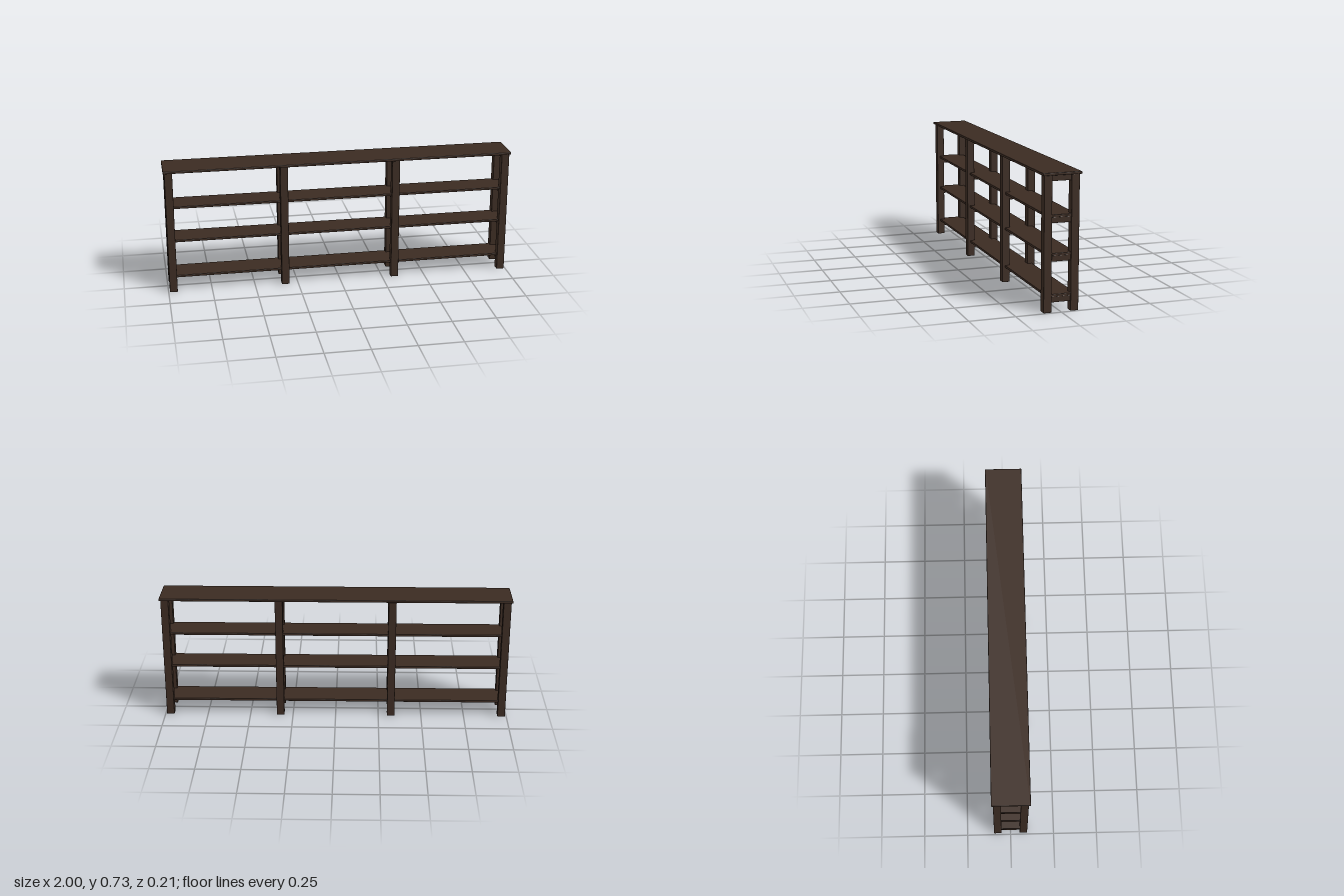
import * as THREE from 'three';
import { RoundedBoxGeometry } from 'three/addons/geometries/RoundedBoxGeometry.js';

export function createModel() {
  const group = new THREE.Group();
  group.name = 'consoleShelf';
  const wood = new THREE.MeshStandardMaterial({ color: 0x3b2b22 });
  wood.name = 'darkWood';

  // Lightly eased board, placed by its bottom height
  function board(name, w, h, d, x, bottom, z, radius = 0.0015) {
    const mesh = new THREE.Mesh(new RoundedBoxGeometry(w, h, d, 2, radius), wood);
    mesh.name = name;
    mesh.position.set(x, bottom + h / 2, z);
    group.add(mesh);
  }

  const shelfBottoms = [0.083, 0.299, 0.5];
  const topBottom = 0.717;
  const railHeight = 0.031;

  // Overhanging top
  board('top', 2, 0.014, 0.212, 0, topBottom, 0, 0.003);

  // Long shelves running between the front and back posts
  for (const y of shelfBottoms) board('shelf', 1.974, 0.013, 0.16, 0, y, 0);

  // Four frames: a pair of posts joined by cross rails
  for (const x of [-0.97, -0.323, 0.323, 0.97]) {
    for (const side of [-1, 1]) {
      board('post', 0.044, topBottom, 0.043, x, 0, side * 0.0745);
    }
    for (const y of [...shelfBottoms, topBottom]) {
      board('crossRail', 0.03, railHeight, 0.112, x, y - railHeight, 0);
    }
  }
  return group;
}
